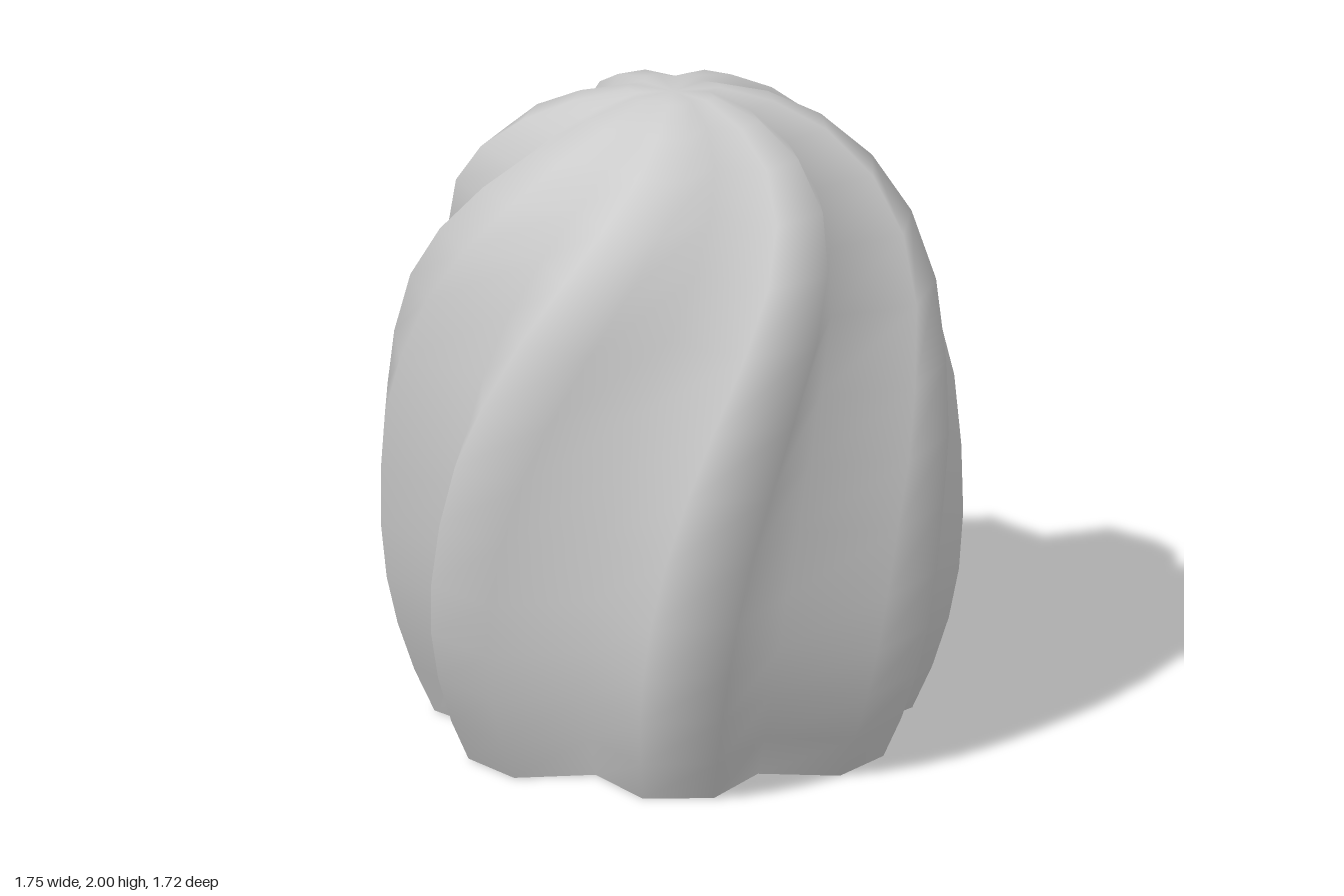
import * as THREE from 'three';

const LOBES = 7;
const SEGMENTS = LOBES * 3; // each lobe: one valley corner and two ridge corners
const VALLEY = 0.78; // valley radius relative to ridge radius

// Ridge radius and height of each ring, from the open rim to the crown
const PROFILE = [
  [0.715, 0], [0.775, 0.13], [0.825, 0.28], [0.857, 0.43], [0.873, 0.6], [0.875, 0.8],
  [0.868, 1.0], [0.837, 1.2], [0.787, 1.42], [0.71, 1.6], [0.6, 1.75],
  [0.457, 1.87], [0.3, 1.95], [0.14, 1.995],
];

// The lobes turn faster towards the crown
const twist = (y) => THREE.MathUtils.degToRad(21.8 + 10 * Math.pow(y, 2.4));

function lobedShell() {
  const positions = [];
  const indices = [];

  // Twisted rings
  for (const [radius, y] of PROFILE) {
    for (let i = 0; i < SEGMENTS; i++) {
      const angle = twist(y) + (i / SEGMENTS) * Math.PI * 2;
      const r = i % 3 === 0 ? radius * VALLEY : radius;
      positions.push(r * Math.sin(angle), y, r * Math.cos(angle));
    }
  }
  const apex = positions.length / 3;
  positions.push(0, 1.99, 0);

  // Walls between rings, closed by a fan at the apex
  for (let j = 0; j < PROFILE.length; j++) {
    for (let i = 0; i < SEGMENTS; i++) {
      const a = j * SEGMENTS + i;
      const b = j * SEGMENTS + ((i + 1) % SEGMENTS);
      if (j === PROFILE.length - 1) indices.push(a, b, apex);
      else indices.push(a, b, b + SEGMENTS, a, b + SEGMENTS, a + SEGMENTS);
    }
  }

  const geometry = new THREE.BufferGeometry();
  geometry.setAttribute('position', new THREE.Float32BufferAttribute(positions, 3));
  geometry.setIndex(indices);
  geometry.computeVertexNormals();
  return geometry;
}

export function createModel() {
  const group = new THREE.Group();
  group.name = 'twistedLobedDome';
  const material = new THREE.MeshStandardMaterial({ color: 0xcccccc, side: THREE.DoubleSide });
  const shell = new THREE.Mesh(lobedShell(), material);
  shell.name = 'lobedShell';
  group.add(shell);
  return group;
}
